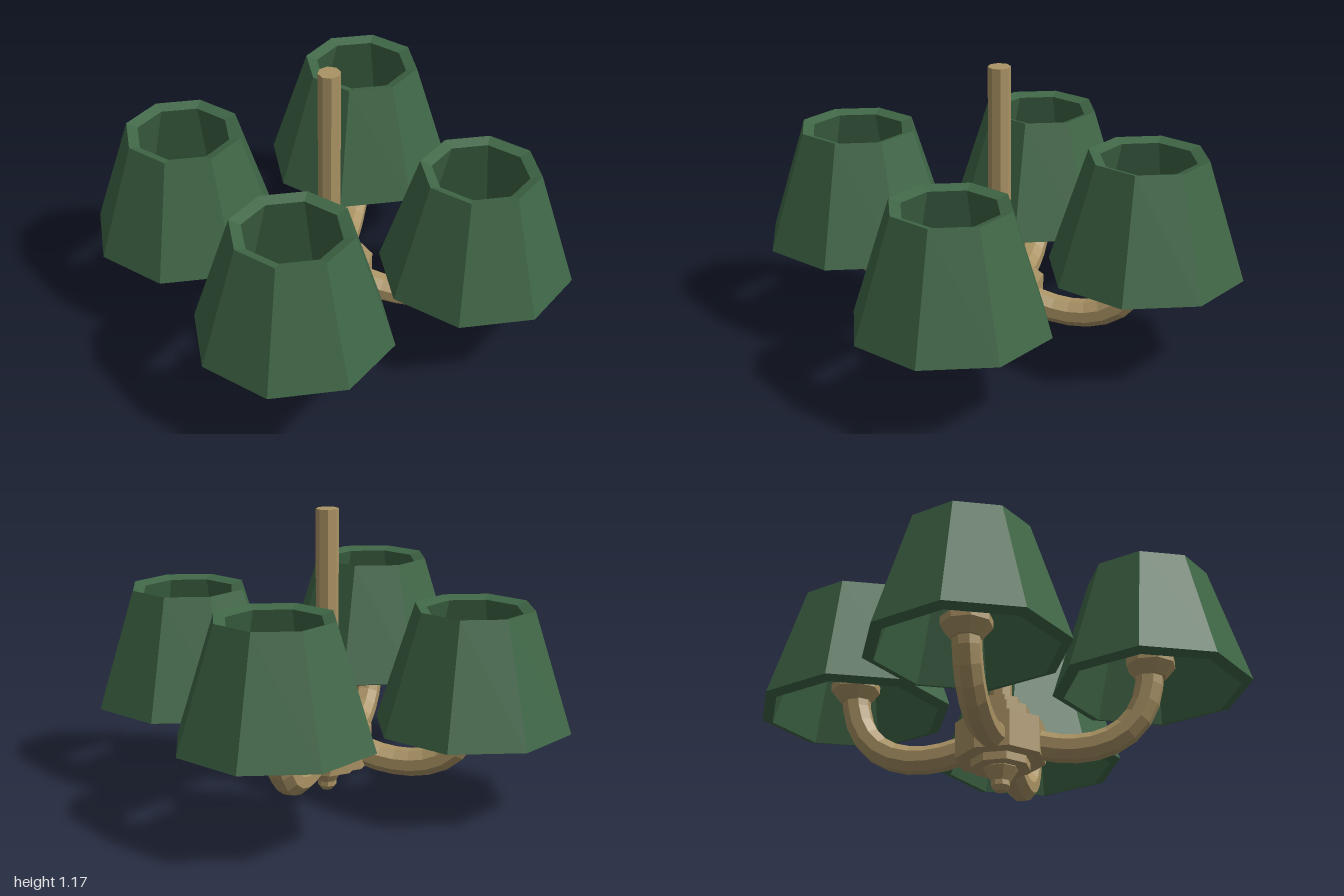
import * as THREE from 'three';

const brass = new THREE.MeshStandardMaterial({ name: 'brass', color: 0xaa9364, flatShading: true });
const green = new THREE.MeshStandardMaterial({ name: 'shade green', color: 0x3f6646, flatShading: true });
const gold = new THREE.MeshStandardMaterial({ name: 'bulb gold', color: 0xd2b965, flatShading: true });

// Faceted turned part; profile runs [radius, y] from bottom to top
function turned(name, profile, material, sides = 8, phi = 0) {
  const points = profile.map(([r, y]) => new THREE.Vector2(r, y));
  const mesh = new THREE.Mesh(new THREE.LatheGeometry(points, sides, phi), material);
  mesh.name = name;
  return mesh;
}

// Curved octagonal arm along +x, flat side up
function makeArm(endY) {
  const path = new THREE.CubicBezierCurve3(
    new THREE.Vector3(0.1, 0.21, 0),
    new THREE.Vector3(0.28, 0.12, 0),
    new THREE.Vector3(0.6, 0.12, 0),
    new THREE.Vector3(0.6, endY, 0)
  );
  const section = new THREE.Shape();
  for (let i = 0; i < 8; i++) {
    const a = ((i + 0.5) * Math.PI) / 4;
    const x = 0.057 * Math.cos(a), y = 0.057 * Math.sin(a);
    if (i === 0) section.moveTo(x, y);
    else section.lineTo(x, y);
  }
  section.closePath();
  const geometry = new THREE.ExtrudeGeometry(section, { steps: 10, extrudePath: path });
  const mesh = new THREE.Mesh(geometry, brass);
  mesh.name = 'arm';
  return mesh;
}

// Arm with its cup, bulb and lamp shade
function makeLight(lift) {
  const light = new THREE.Group();
  light.add(makeArm(0.42 + lift));

  const head = new THREE.Group();
  head.name = 'lampHead';
  head.position.set(0.605, lift, 0);
  head.add(
    turned('cup', [[0, 0.38], [0.06, 0.38], [0.1, 0.43], [0.1, 0.46], [0, 0.46]], brass, 8, Math.PI / 8),
    turned('bulb', [[0, 0.455], [0.05, 0.455], [0.066, 0.51], [0.045, 0.58], [0, 0.63]], gold, 6),
    turned('shade', [
      [0.395, 0.341], [0.24, 0.822], [0.193, 0.807], [0.35, 0.327], [0.395, 0.341]
    ], green)
  );
  light.add(head);
  return light;
}

export function createModel() {
  const model = new THREE.Group();
  model.name = 'chandelier';

  // Central hub with drop finial, and the hanging rod
  model.add(
    turned('finial', [
      [0, 0], [0.022, 0.006], [0.038, 0.025], [0.038, 0.045], [0.07, 0.095], [0.07, 0.11]
    ], brass, 8, Math.PI / 8),
    turned('hub', [
      [0, 0.098], [0.12, 0.098], [0.12, 0.13], [0.182, 0.13], [0.182, 0.28],
      [0.12, 0.28], [0.12, 0.345], [0.08, 0.345], [0.08, 0.385], [0, 0.385]
    ], brass, 8, Math.PI / 8),
    turned('rod', [[0, 0.36], [0.046, 0.36], [0.046, 1.175], [0, 1.175]], brass, 8, Math.PI / 8)
  );

  // Four lights; the front and back pair sit slightly higher
  ['left', 'back', 'right', 'front'].forEach((side, i) => {
    const light = makeLight(i % 2 ? 0.05 : 0);
    light.name = side + 'Light';
    light.rotation.y = (i * Math.PI) / 2;
    model.add(light);
  });
  return model;
}
